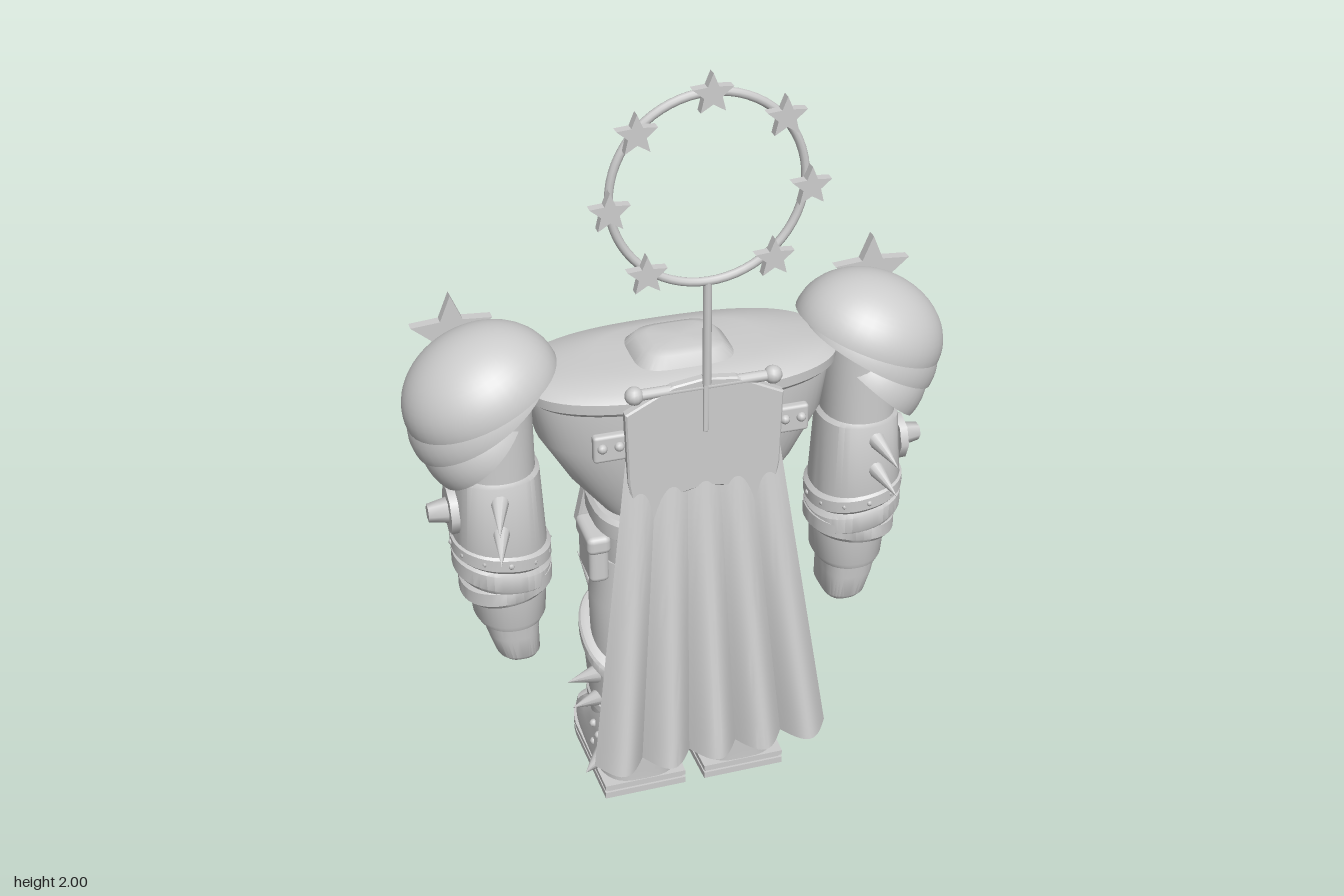
import * as THREE from 'three';
import { toCreasedNormals } from 'three/addons/utils/BufferGeometryUtils.js';
import { RoundedBoxGeometry } from 'three/addons/geometries/RoundedBoxGeometry.js';

const V = (x, y, z) => new THREE.Vector3(x, y, z);

// Closed body through rounded cross-sections: [y, halfX, halfZ, centreX, centreZ, slopeX, slopeZ]
function loft(rings, power = 2.2, n = 40) {
  const pos = [], index = [];
  for (const [y, hx, hz, cx = 0, cz = 0, sx = 0, sz = 0] of rings)
    for (let j = 0; j < n; j++) {
      const a = (j / n) * Math.PI * 2, c = Math.cos(a), s = Math.sin(a);
      const dx = Math.sign(c) * Math.abs(c) ** (2 / power) * hx;
      const dz = Math.sign(s) * Math.abs(s) ** (2 / power) * hz;
      pos.push(cx + dx, y + sx * dx + sz * dz, cz + dz);
    }
  const m = rings.length;
  for (let i = 0; i < m - 1; i++)
    for (let j = 0; j < n; j++) {
      const k = (j + 1) % n, a = i * n + j, b = i * n + k;
      index.push(a, a + n, b + n, a, b + n, b);
    }
  const lo = rings[0], hi = rings[m - 1];
  pos.push(lo[3] || 0, lo[0], lo[4] || 0, hi[3] || 0, hi[0], hi[4] || 0);
  for (let j = 0; j < n; j++) {
    const k = (j + 1) % n, t = (m - 1) * n;
    index.push(m * n, j, k, m * n + 1, t + k, t + j);
  }
  const g = new THREE.BufferGeometry();
  g.setAttribute('position', new THREE.Float32BufferAttribute(pos, 3));
  g.setIndex(index);
  return toCreasedNormals(g, 0.6);
}

// Flat outline in the xy plane, thickened along z
function plate(points, z, depth, bevel = 0.006) {
  const shape = new THREE.Shape(points.map(([x, y]) => new THREE.Vector2(x, y)));
  return new THREE.ExtrudeGeometry(shape, {
    depth, bevelEnabled: bevel > 0, bevelSize: bevel, bevelThickness: bevel, bevelSegments: 1,
  }).translate(0, 0, z);
}

function star(x, y, z, r, depth) {
  const pts = [];
  for (let i = 0; i < 10; i++) {
    const a = Math.PI / 2 + (i * Math.PI) / 5, q = i % 2 ? r * 0.45 : r;
    pts.push([x + Math.cos(a) * q, y + Math.sin(a) * q]);
  }
  return plate(pts, z - depth / 2, depth, 0);
}

function spike(base, tip, r) {
  const d = tip.clone().sub(base), len = d.length();
  const g = new THREE.ConeGeometry(r, len, 10).translate(0, len / 2, 0);
  g.applyQuaternion(new THREE.Quaternion().setFromUnitVectors(V(0, 1, 0), d.normalize()));
  return g.translate(base.x, base.y, base.z);
}

const box = (w, h, d, x, y, z, r = 0.008) => new RoundedBoxGeometry(w, h, d, 2, r).translate(x, y, z);
const ball = (r, x, y, z, n = 10) => new THREE.SphereGeometry(r, n, Math.floor(n * 0.7)).translate(x, y, z);

// Mirror across x and restore the corner order
function mirrorX(geo) {
  const g = geo.index ? geo.toNonIndexed() : geo.clone();
  g.scale(-1, 1, 1);
  for (const a of Object.values(g.attributes))
    for (let i = 0; i < a.count; i += 3)
      for (let k = 0; k < a.itemSize; k++) {
        const t = a.getComponent(i + 1, k);
        a.setComponent(i + 1, k, a.getComponent(i + 2, k));
        a.setComponent(i + 2, k, t);
      }
  return g;
}

// Pleated cloth, widening and swinging out toward the hem
function capeGeometry() {
  const g = new THREE.PlaneGeometry(2, 1, 60, 12), p = g.attributes.position;
  for (let i = 0; i < p.count; i++) {
    const u = p.getX(i), t = 0.5 - p.getY(i);
    const fold = Math.abs(Math.sin(u * Math.PI * 2.5 + Math.PI / 2));
    p.setXYZ(i, u * (0.18 + 0.12 * t), 1.1 - 0.86 * t, 0.145 + 0.085 * t + 0.06 * t * fold + 0.01 * t * (1 - u * u));
  }
  return toCreasedNormals(g, 0.5);
}

export function createModel() {
  const root = new THREE.Group();
  const grey = new THREE.MeshStandardMaterial({ color: 0xcccccc, side: THREE.DoubleSide });
  grey.name = 'plain grey';
  const add = (name, geo) => {
    const m = new THREE.Mesh(geo, grey);
    m.name = name;
    root.add(m);
  };
  const pair = (name, geo) => { add(name + 'Left', geo); add(name + 'Right', mirrorX(geo)); };

  // Halo on its pole
  add('haloRing', new THREE.TorusGeometry(0.22, 0.01, 10, 64).translate(0, 1.725, 0.175));
  add('haloPole', new THREE.CylinderGeometry(0.01, 0.01, 0.26, 10).translate(0, 1.375, 0.175));
  for (let i = -3; i <= 3; i++) {
    const a = Math.PI / 2 + i * 0.815;
    add('haloStar', star(Math.cos(a) * 0.225, 1.725 + Math.sin(a) * 0.225, 0.195, 0.047, 0.022));
  }

  // Torso, collar rim and neck cap
  add('torso', loft([[0.78, 0.18, 0.13, 0, -0.05], [0.83, 0.2, 0.14, 0, -0.05], [0.93, 0.28, 0.16, 0, -0.05],
    [1.05, 0.35, 0.175, 0, -0.05], [1.15, 0.365, 0.18, 0, -0.05], [1.165, 0.365, 0.18, 0, -0.05]], 2.6, 64));
  add('collarRim', loft([[1.16, 0.37, 0.183, 0, -0.05], [1.17, 0.382, 0.19, 0, -0.05], [1.195, 0.385, 0.19, 0, -0.05],
    [1.21, 0.36, 0.17, 0, -0.05], [1.225, 0.2, 0.12, 0, -0.045]], 2.6, 64));
  add('neckCap', loft([[1.2, 0.125, 0.105, 0, -0.04], [1.225, 0.12, 0.1, 0, -0.04], [1.25, 0.095, 0.08, 0, -0.04],
    [1.257, 0.07, 0.06, 0, -0.04]], 4));
  add('collarBar', new THREE.CylinderGeometry(0.013, 0.013, 0.33, 12).rotateZ(Math.PI / 2).translate(0, 1.23, 0.155));
  pair('collarBarEnd', ball(0.022, 0.165, 1.23, 0.155, 14));
  pair('backBracket', box(0.08, 0.07, 0.025, 0.22, 1.095, 0.137));
  for (const x of [0.2, 0.24]) pair('bracketRivet', ball(0.012, x, 1.1, 0.15));

  // Chest emblem: winged plates around a gem
  pair('upperWing', plate([[0.02, 0.99], [0.05, 1.09], [0.2, 1.14], [0.29, 1.13], [0.3, 1.05], [0.19, 0.99]], -0.255, 0.03));
  pair('upperWingFacet', plate([[0.06, 1.0], [0.07, 1.07], [0.2, 1.11], [0.17, 1.01]], -0.28, 0.03));
  pair('lowerWing', plate([[0.02, 0.96], [0.18, 0.97], [0.23, 0.92], [0.14, 0.86], [0.03, 0.85]], -0.25, 0.03));
  pair('lowerWingFacet', plate([[0.05, 0.94], [0.15, 0.95], [0.17, 0.92], [0.12, 0.88], [0.05, 0.88]], -0.265, 0.02));
  add('wingBacking', box(0.34, 0.22, 0.06, 0, 1.0, -0.22));
  const gem = (r, r2, h, z) => toCreasedNormals(new THREE.CylinderGeometry(r, r2, h, 8), 0.1)
    .rotateY(Math.PI / 8).rotateX(-Math.PI / 2).scale(0.75, 1, 1).translate(0, 1, z);
  add('gemFrame', gem(0.1, 0.11, 0.05, -0.265));
  add('gem', gem(0.04, 0.075, 0.025, -0.295));

  // Belt, pelvis and hanging plates
  add('pelvis', loft([[0.56, 0.1, 0.1, 0, -0.05], [0.63, 0.2, 0.13, 0, -0.05], [0.8, 0.2, 0.14, 0, -0.05]], 2.6));
  add('belt', loft([[0.775, 0.215, 0.165, 0, -0.05], [0.785, 0.225, 0.175, 0, -0.05], [0.825, 0.225, 0.175, 0, -0.05],
    [0.835, 0.215, 0.165, 0, -0.05]], 2.8));
  add('buckle', box(0.11, 0.075, 0.03, 0, 0.81, -0.235));
  add('buckleCentre', box(0.05, 0.035, 0.02, 0, 0.81, -0.25));
  pair('beltClip', box(0.045, 0.07, 0.03, 0.13, 0.81, -0.225));
  add('frontPlate', plate([[-0.08, 0.77], [0.08, 0.77], [0.07, 0.67], [0, 0.58], [-0.07, 0.67]], -0.215, 0.03));
  pair('thighPlate', plate([[0.09, 0.77], [0.2, 0.77], [0.22, 0.68], [0.17, 0.6], [0.09, 0.66]], -0.21, 0.03));
  pair('rearPlate', plate([[0.03, 0.79], [0.19, 0.79], [0.2, 0.66], [0.12, 0.6], [0.03, 0.64]], 0.1, 0.03));
  pair('hipPouch', box(0.05, 0.13, 0.12, 0.222, 0.7, -0.03, 0.015));
  pair('pouchFlap', box(0.06, 0.05, 0.13, 0.222, 0.745, -0.03, 0.015));

  // Cape and its mantle
  add('cape', capeGeometry());
  pair('mantle', plate([[0, 1.25], [0.075, 1.24], [0.185, 1.185], [0.18, 1.0], [0.155, 0.84], [0.12, 0.81], [0.09, 0.95],
    [0, 0.97]], 0.145, 0.018, 0.004));
  add('mantleSeam', box(0.012, 0.13, 0.01, 0, 1.18, 0.167, 0.003));

  // Layered shoulder armour
  const dome = (name, r, h, d, x, y, tilt) => pair(name, new THREE.SphereGeometry(1, 40, 14, 0, Math.PI * 2, 0, Math.PI / 2)
    .scale(r, h, d).rotateZ(-tilt).translate(x, y, -0.037));
  dome('shoulderDome', 0.19, 0.15, 0.173, 0.475, 1.19, 0.39);
  dome('shoulderLayer', 0.178, 0.15, 0.155, 0.48, 1.135, 0.53);
  dome('shoulderLowerLayer', 0.137, 0.15, 0.14, 0.485, 1.06, 0.74);
  pair('shoulderStar', star(0.517, 1.295, -0.14, 0.1, 0.025));
  pair('shoulderStarKnob', ball(0.022, 0.517, 1.295, -0.16, 12));

  // Arms
  const az = -0.03;
  pair('upperArm', loft([[0.98, 0.09, 0.1, 0.452, az], [1.2, 0.088, 0.098, 0.452, az], [1.235, 0.06, 0.07, 0.452, az]]));
  pair('armGuard', loft([[0.76, 0.108, 0.11, 0.452, az], [0.79, 0.113, 0.115, 0.455, az], [0.985, 0.1, 0.105, 0.452, az],
    [0.995, 0.09, 0.1, 0.452, az]]));
  const band = (name, y, h, r, cx, sx) => pair(name, loft([[y - h, r - 0.012, r - 0.008, cx, az, sx], [y - h * 0.6, r, r, cx, az, sx],
    [y + h * 0.6, r, r, cx, az, sx], [y + h, r - 0.012, r - 0.008, cx, az, sx]]));
  band('upperBand', 0.775, 0.026, 0.12, 0.452, 0.15);
  band('middleBand', 0.72, 0.034, 0.118, 0.453, 0.2);
  band('lowerBand', 0.68, 0.03, 0.113, 0.445, -0.12);
  pair('forearm', loft([[0.565, 0.08, 0.095, 0.44, az], [0.58, 0.088, 0.1, 0.44, az], [0.68, 0.095, 0.104, 0.442, az]]));
  pair('hand', loft([[0.457, 0.045, 0.07, 0.425, az], [0.47, 0.055, 0.08, 0.428, az], [0.53, 0.064, 0.086, 0.438, az],
    [0.58, 0.07, 0.09, 0.44, az]], 2.8));
  pair('thumb', box(0.045, 0.1, 0.035, 0.42, 0.56, -0.125, 0.016));
  pair('elbowPlate', new THREE.CylinderGeometry(0.06, 0.06, 0.02, 8).rotateZ(Math.PI / 2).translate(0.565, 0.885, az));
  pair('elbowKnob', new THREE.CylinderGeometry(0.022, 0.032, 0.05, 6).rotateZ(-Math.PI / 2).translate(0.597, 0.885, az));
  for (const y of [0.95, 0.87]) pair('armSpike', spike(V(0.465, y, 0.06), V(0.49, y - 0.035, 0.165), 0.024));
  for (let i = 0; i < 12; i++) {
    const a = (i / 12) * Math.PI * 2, c = Math.cos(a) * 0.118;
    pair('bandRivet', ball(0.008, 0.452 + c, 0.775 + c * 0.15, az + Math.sin(a) * 0.118, 6));
  }

  // Legs
  const lx = 0.13;
  pair('thigh', loft([[0.38, 0.095, 0.1, lx, -0.055], [0.55, 0.1, 0.105, lx, -0.05], [0.68, 0.095, 0.1, 0.115, -0.05]]));
  pair('shin', loft([[0.15, 0.098, 0.11, lx, -0.065], [0.25, 0.103, 0.118, lx, -0.065], [0.37, 0.112, 0.13, lx, -0.067, 0, -0.2],
    [0.415, 0.116, 0.137, lx, -0.068, 0, -0.42], [0.422, 0.104, 0.12, lx, -0.068, 0, -0.42]]));
  pair('shinTrim', loft([[0.378, 0.116, 0.137, lx, -0.068, 0, -0.42], [0.385, 0.121, 0.142, lx, -0.068, 0, -0.42],
    [0.408, 0.121, 0.142, lx, -0.068, 0, -0.42], [0.415, 0.116, 0.137, lx, -0.068, 0, -0.42]]));
  pair('ankleTrim', loft([[0.2, 0.1, 0.115, lx, -0.065], [0.206, 0.107, 0.122, lx, -0.065], [0.224, 0.107, 0.122, lx, -0.065],
    [0.23, 0.1, 0.115, lx, -0.065]]));
  pair('kneeBolt', new THREE.CylinderGeometry(0.034, 0.04, 0.03, 8).rotateX(-Math.PI / 2).translate(lx, 0.43, -0.215));
  pair('kneeBoltHead', ball(0.02, lx, 0.43, -0.235, 10));
  pair('kneeSpike', spike(V(lx + 0.06, 0.49, -0.12), V(lx + 0.09, 0.57, -0.215), 0.02));
  for (const y of [0.5, 0.54, 0.58]) pair('thighRivet', ball(0.009, lx, y, -0.156, 8));
  pair('shinSpikeUpper', spike(V(0.22, 0.32, -0.02), V(0.32, 0.37, 0.055), 0.026));
  pair('shinSpikeLower', spike(V(0.215, 0.235, -0.03), V(0.31, 0.285, 0.055), 0.024));

  // Boots: square heel, rounded toe
  const sole = (grow) => new THREE.Shape().moveTo(-0.105 - grow, -0.095 - grow).lineTo(0.105 + grow, -0.095 - grow)
    .lineTo(0.115 + grow, 0.17).bezierCurveTo(0.11, 0.28 + grow, 0.06, 0.29 + grow, 0, 0.29 + grow)
    .bezierCurveTo(-0.06, 0.29 + grow, -0.11, 0.28 + grow, -0.115 - grow, 0.17);
  const slab = (grow, y, h) => new THREE.ExtrudeGeometry(sole(grow), { depth: h, bevelEnabled: false, curveSegments: 12 })
    .rotateX(-Math.PI / 2).translate(lx + 0.003, y, 0);
  pair('sole', slab(0.002, 0, 0.018));
  pair('welt', slab(-0.004, 0.018, 0.008));
  pair('upperSole', slab(0.002, 0.026, 0.014));
  pair('boot', loft([[0.035, 0.11, 0.192, lx + 0.003, -0.097], [0.065, 0.11, 0.185, lx + 0.003, -0.09],
    [0.1, 0.108, 0.155, lx, -0.058], [0.135, 0.105, 0.125, lx, -0.028], [0.17, 0.1, 0.1, lx, -0.006],
    [0.198, 0.09, 0.085, lx, 0.0]], 3.4));
  pair('toeCap', loft([[0.04, 0.1, 0.05, lx, -0.235], [0.065, 0.095, 0.045, lx, -0.235], [0.08, 0.075, 0.035, lx, -0.225]], 2.6));
  pair('bootSpike', spike(V(0.225, 0.095, 0.03), V(0.302, 0.14, 0.14), 0.028));
  for (const [y, z] of [[0.15, 0.02], [0.15, -0.03], [0.09, 0.03], [0.09, -0.03]]) pair('bootRivet', ball(0.011, 0.236, y, z, 8));
  return root;
}
